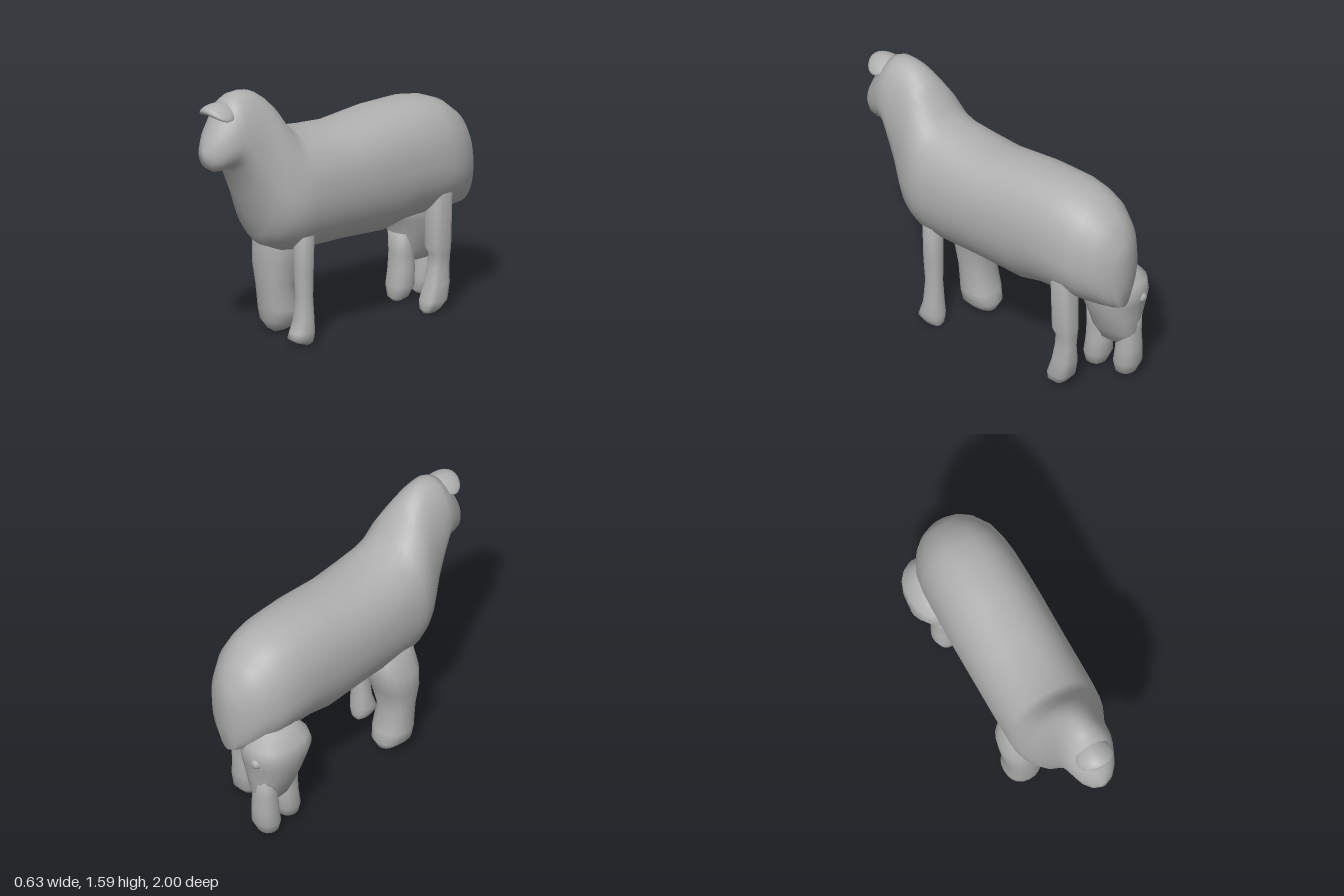
import * as THREE from 'three';

const wool = new THREE.MeshStandardMaterial({ color: 0xb0b0b0 });
wool.name = 'plain grey';

// Skin a list of closed rings and close both ends with a fan.
function loft(name, rings) {
  const n = rings[0].length, pos = [], idx = [];
  rings.forEach(r => r.forEach(p => pos.push(p.x, p.y, p.z)));
  for (let i = 0; i < rings.length - 1; i++) {
    for (let j = 0; j < n; j++) {
      const a = i * n + j, b = i * n + (j + 1) % n;
      idx.push(a, b, a + n, b, b + n, a + n);
    }
  }
  [0, rings.length - 1].forEach(i => {
    const c = rings[i].reduce((s, p) => s.add(p), new THREE.Vector3()).divideScalar(n);
    const k = pos.length / 3;
    pos.push(c.x, c.y, c.z);
    for (let j = 0; j < n; j++) {
      const a = i * n + j, b = i * n + (j + 1) % n;
      if (i === 0) idx.push(k, b, a); else idx.push(k, a, b);
    }
  });
  const g = new THREE.BufferGeometry();
  g.setAttribute('position', new THREE.Float32BufferAttribute(pos, 3));
  g.setIndex(idx);
  g.computeVertexNormals();
  const m = new THREE.Mesh(g, wool);
  m.name = name;
  return m;
}

const power = (v, e) => Math.sign(v) * Math.pow(Math.abs(v), 2 / e);

// Ring in the xy plane: separate upper and lower halves about the widest height.
function bodyRing([z, bottom, top, half, mid]) {
  const ring = [], e = z < 0.4 ? 2.25 : 2;
  for (let j = 0; j < 40; j++) {
    const t = j / 40 * Math.PI * 2, c = Math.cos(t), s = Math.sin(t);
    const k = s > 0 ? e : 2;
    ring.push(new THREE.Vector3(0.02 + half * power(c, k),
      mid + (s > 0 ? top - mid : mid - bottom) * power(s, k), z));
  }
  return ring;
}

// Leg rows run upward: y, x min, x max, z min, z max.
function leg(name, rows, e = 2.3) {
  return loft(name, rows.map(([y, x0, x1, z0, z1]) => {
    const ring = [];
    for (let j = 0; j < 20; j++) {
      const t = j / 20 * Math.PI * 2;
      ring.push(new THREE.Vector3((x0 + x1) / 2 + (x1 - x0) / 2 * power(Math.cos(t), e), y,
        (z0 + z1) / 2 - (z1 - z0) / 2 * power(Math.sin(t), e)));
    }
    return ring;
  }));
}

export function createModel() {
  const group = new THREE.Group();
  group.name = 'sheep';

  // Body, neck and head from rump to muzzle: z, bottom, top, half width, widest height
  group.add(loft('body', [
    [-1.0, 0.75, 0.95, 0.04, 0.86], [-0.985, 0.59, 1.0, 0.09, 0.84],
    [-0.95, 0.58, 1.09, 0.155, 0.84], [-0.9, 0.58, 1.16, 0.205, 0.86],
    [-0.8, 0.58, 1.24, 0.26, 0.88], [-0.7, 0.58, 1.28, 0.28, 0.9],
    [-0.58, 0.58, 1.3, 0.29, 0.92], [-0.45, 0.57, 1.3, 0.292, 0.93],
    [-0.3, 0.535, 1.298, 0.295, 0.93], [0, 0.55, 1.265, 0.295, 0.93],
    [0.2, 0.55, 1.28, 0.295, 0.93], [0.36, 0.555, 1.3, 0.293, 0.93],
    [0.43, 0.565, 1.36, 0.29, 0.93], [0.5, 0.595, 1.47, 0.272, 0.94],
    [0.56, 0.62, 1.53, 0.245, 0.97], [0.61, 0.68, 1.565, 0.22, 1.04],
    [0.66, 0.81, 1.588, 0.198, 1.13], [0.72, 0.95, 1.597, 0.182, 1.22],
    [0.78, 1.11, 1.593, 0.17, 1.3], [0.83, 1.15, 1.57, 0.155, 1.32],
    [0.88, 1.14, 1.49, 0.135, 1.3], [0.93, 1.142, 1.43, 0.11, 1.27],
    [0.975, 1.17, 1.35, 0.07, 1.25], [1.0, 1.22, 1.28, 0.02, 1.25]
  ].map(bodyRing)));

  // Overhanging forelock, drooping at both ends
  const tuftGeo = new THREE.SphereGeometry(1, 28, 16);
  tuftGeo.scale(0.115, 0.038, 0.095);
  const p = tuftGeo.attributes.position;
  for (let i = 0; i < p.count; i++) p.setY(i, p.getY(i) - 3.5 * p.getX(i) ** 2);
  tuftGeo.computeVertexNormals();
  const tuft = new THREE.Mesh(tuftGeo, wool);
  tuft.name = 'forelock';
  tuft.position.set(0.02, 1.514, 0.89);
  group.add(tuft);

  // Slim legs on the left side
  group.add(leg('leftFrontLeg', [
    [0.005, 0.16, 0.2, 0.32, 0.36], [0.025, 0.13, 0.23, 0.305, 0.42],
    [0.055, 0.115, 0.245, 0.3, 0.468], [0.09, 0.11, 0.25, 0.3, 0.45],
    [0.16, 0.12, 0.245, 0.305, 0.425], [0.3, 0.135, 0.232, 0.31, 0.415],
    [0.45, 0.13, 0.24, 0.31, 0.425], [0.68, 0.13, 0.25, 0.31, 0.425]
  ]));
  group.add(leg('leftHindLeg', [
    [0.005, 0.16, 0.2, -0.64, -0.57], [0.03, 0.13, 0.23, -0.67, -0.55],
    [0.08, 0.11, 0.25, -0.715, -0.555], [0.18, 0.115, 0.245, -0.735, -0.59],
    [0.28, 0.13, 0.235, -0.735, -0.61], [0.36, 0.125, 0.24, -0.74, -0.62],
    [0.4, 0.115, 0.25, -0.742, -0.595], [0.74, 0.115, 0.265, -0.742, -0.595]
  ], 2.8));

  // Heavy front leg on the right side
  group.add(leg('rightFrontLeg', [
    [0.005, -0.16, -0.12, 0.22, 0.32], [0.03, -0.19, -0.08, 0.18, 0.36],
    [0.08, -0.245, -0.03, 0.155, 0.39], [0.15, -0.255, -0.02, 0.17, 0.4],
    [0.3, -0.248, -0.03, 0.205, 0.42], [0.44, -0.275, 0.0, 0.17, 0.437],
    [0.56, -0.28, 0.01, 0.125, 0.437], [0.74, -0.22, 0.0, 0.12, 0.42]
  ]));

  // Broad right haunch carrying two feet
  group.add(leg('rightHaunch', [
    [0.24, -0.2, -0.08, -0.89, -0.64], [0.32, -0.24, -0.04, -0.93, -0.61],
    [0.42, -0.285, 0.0, -0.935, -0.6], [0.52, -0.315, 0.03, -0.955, -0.56],
    [0.58, -0.32, 0.035, -0.97, -0.52], [0.65, -0.315, 0.02, -0.955, -0.55],
    [0.73, -0.24, -0.04, -0.88, -0.62]
  ]));
  [['rightHindFoot', -0.16, -0.86], ['rightInnerFoot', -0.13, -0.655]].forEach(([name, x, z]) => {
    group.add(leg(name, [
      [0.005, 0.025, 0.03, 0.03], [0.03, 0.06, 0.06, 0.025], [0.1, 0.085, 0.08, 0.01],
      [0.2, 0.08, 0.075, 0], [0.3, 0.075, 0.07, 0], [0.42, 0.08, 0.07, 0]
    ].map(([y, rx, rz, toe]) => [y, x - rx, x + rx, z - rz + toe, z + rz + toe])));
  });
  // Small knob behind the haunch
  const knob = new THREE.Mesh(new THREE.SphereGeometry(0.035, 16, 12), wool);
  knob.name = 'haunchKnob';
  knob.position.set(-0.17, 0.56, -0.945);
  group.add(knob);

  return group;
}
